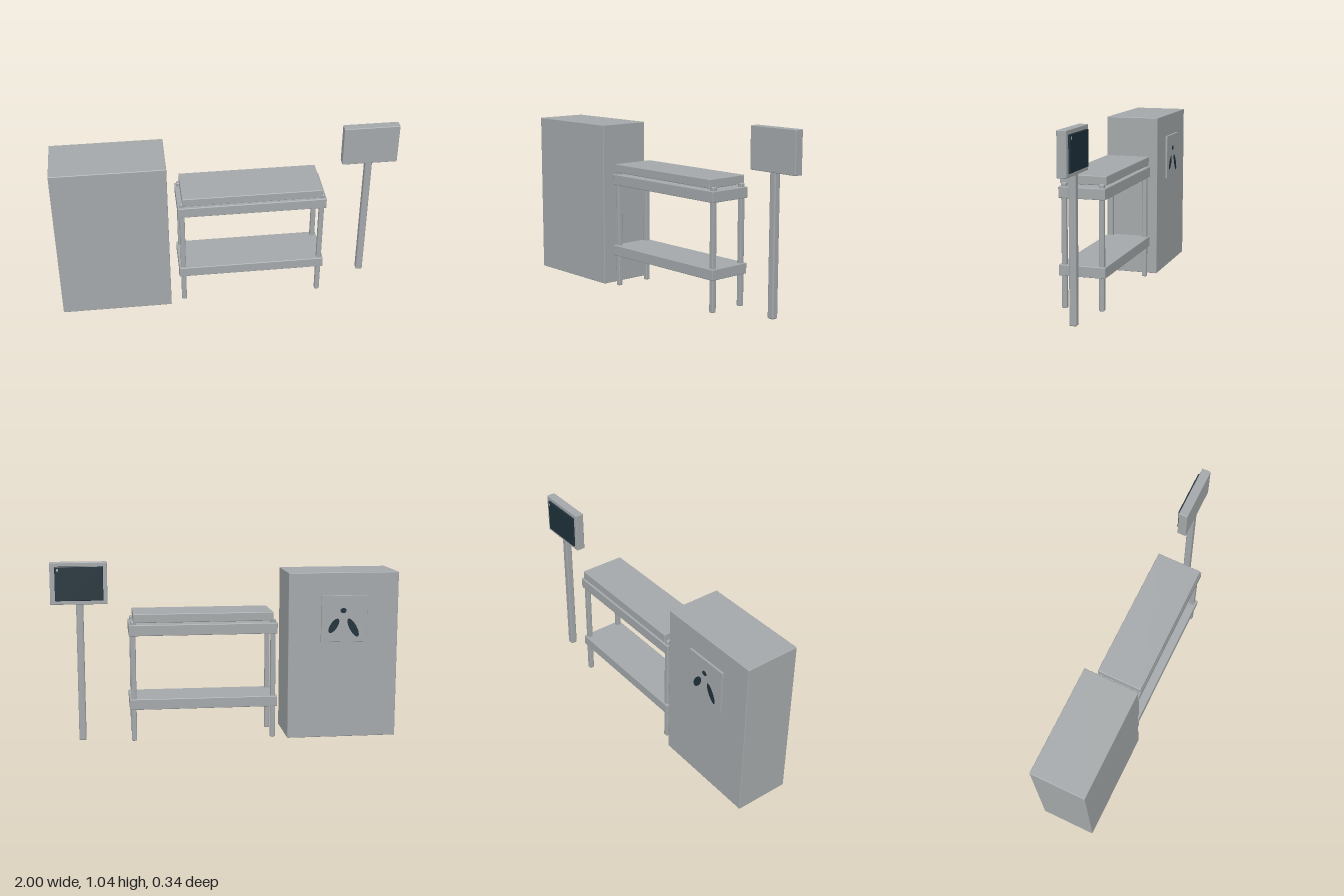
import * as THREE from 'three';
import { RoundedBoxGeometry } from 'three/addons/geometries/RoundedBoxGeometry.js';

export function createModel() {
  const model = new THREE.Group();
  model.name = 'workstation';

  const grey = new THREE.MeshStandardMaterial({ color: 0xa5a9ab });
  grey.name = 'grey';
  const dark = new THREE.MeshStandardMaterial({ color: 0x1f303a });
  dark.name = 'dark slate';

  // Softly rounded block given by its extents on each axis
  function block(name, parent, [x0, x1], [y0, y1], [z0, z1], radius = 0.004, material = grey) {
    const geometry = new RoundedBoxGeometry(x1 - x0, y1 - y0, z1 - z0, 2, radius);
    const mesh = new THREE.Mesh(geometry, material);
    mesh.position.set((x0 + x1) / 2, (y0 + y1) / 2, (z0 + z1) / 2);
    mesh.name = name;
    parent.add(mesh);
    return mesh;
  }

  function group(name) {
    const g = new THREE.Group();
    g.name = name;
    model.add(g);
    return g;
  }

  // Tall cabinet with a square plate on its back
  const cabinet = group('cabinet');
  block('cabinetBody', cabinet, [-1, -0.355], [0, 0.973], [-0.156, 0.167]);
  block('backPlate', cabinet, [-0.815, -0.545], [0.57, 0.84], [-0.167, -0.15], 0.002);

  // Dark painted spots on the plate: two end points and a half width
  const spots = [
    [-0.674, 0.768, -0.674, 0.738, 0.018],
    [-0.645, 0.705, -0.592, 0.624, 0.021],
    [-0.703, 0.705, -0.762, 0.600, 0.021],
  ];
  for (const [xa, ya, xb, yb, w] of spots) {
    const geometry = new THREE.CircleGeometry(1, 20);
    geometry.scale(w, Math.hypot(xb - xa, yb - ya) / 2, 1);
    geometry.rotateY(Math.PI);
    geometry.rotateZ(Math.atan2(yb - ya, xb - xa) - Math.PI / 2);
    const spot = new THREE.Mesh(geometry, dark);
    spot.position.set((xa + xb) / 2, (ya + yb) / 2, -0.1685);
    spot.name = 'plateSpot';
    cabinet.add(spot);
  }

  // Bench: four legs, two shelves and a raised top
  const bench = group('bench');
  for (const x of [-0.274, 0.537]) {
    for (const z of [-0.102, 0.114]) {
      block('benchLeg', bench, [x - 0.0145, x + 0.0145], [0, 0.703], [z - 0.0145, z + 0.0145], 0.006);
    }
  }
  const depth = [-0.127, 0.141];
  block('lowerShelf', bench, [-0.298, 0.561], [0.187, 0.249], depth);
  block('upperShelf', bench, [-0.298, 0.561], [0.619, 0.682], depth);
  block('benchTop', bench, [-0.272, 0.535], [0.695, 0.746], depth);

  // Monitor on a post, screen towards the back
  const monitor = group('monitorStand');
  block('post', monitor, [0.815, 0.856], [0, 0.81], [-0.069, -0.028], 0.008);
  block('monitorHousing', monitor, [0.677, 1], [0.8, 1.04], [-0.075, -0.022]);
  block('screen', monitor, [0.7, 0.972], [0.822, 1.017], [-0.086, -0.07], 0.003, dark);
  block('screenIndicator', monitor, [0.95, 0.962], [0.99, 1.006], [-0.0875, -0.0845], 0.001);

  return model;
}
